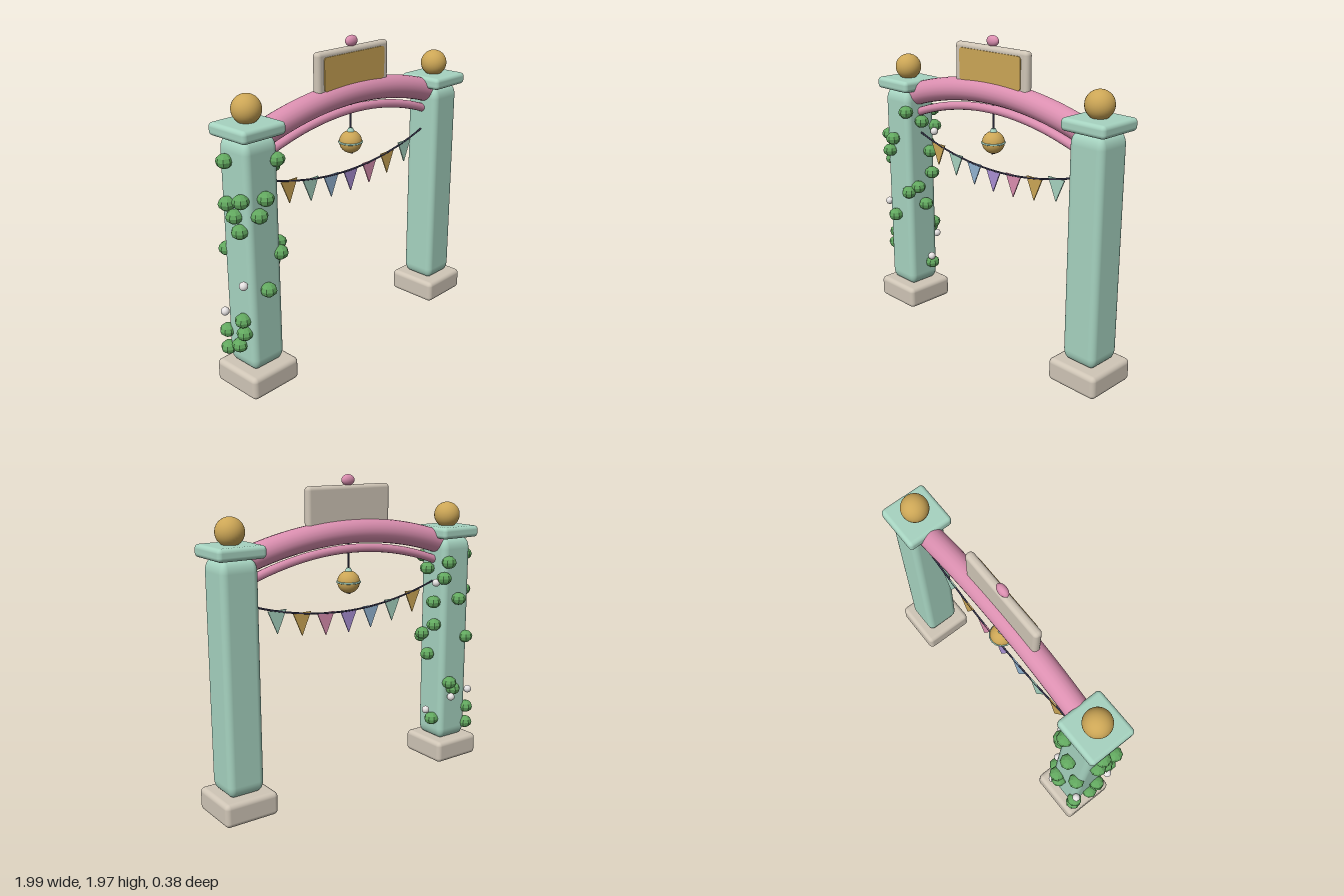
import * as THREE from 'three';
import { RoundedBoxGeometry } from 'three/addons/geometries/RoundedBoxGeometry.js';

function makeMaterial(name, color, side = THREE.FrontSide) {
  const m = new THREE.MeshStandardMaterial({ color, side });
  m.name = name;
  return m;
}

export function createModel() {
  const mint = makeMaterial('mint', 0xa6d3c0);
  const pink = makeMaterial('pink', 0xdb8fb0);
  const stone = makeMaterial('stone', 0xcfc5b6);
  const gold = makeMaterial('gold', 0xcca656);
  const green = makeMaterial('leaf green', 0x62a85f);
  const dark = makeMaterial('dark cord', 0x34324a);
  const white = makeMaterial('blossom white', 0xe6e2e2);
  const blue = makeMaterial('blue', 0x92b4d2);
  const purple = makeMaterial('purple', 0xaa90d4);

  const model = new THREE.Group();
  model.name = 'festivalArch';
  function add(name, geometry, material, x = 0, y = 0, z = 0, parent = model) {
    const mesh = new THREE.Mesh(geometry, material);
    mesh.name = name;
    mesh.position.set(x, y, z);
    parent.add(mesh);
    return mesh;
  }

  // Pillars: stone base, softly rounded shaft, cap and ball
  const shaft = new RoundedBoxGeometry(0.235, 0.8, 0.235, 4, 0.04);
  shaft.scale(1, 1.39 / 0.8, 1);
  for (const [side, s] of [['left', 1], ['right', -1]]) {
    const pillar = new THREE.Group();
    pillar.name = side + 'Pillar';
    pillar.position.x = s * 0.815;
    model.add(pillar);
    add('base', new RoundedBoxGeometry(0.35, 0.145, 0.35, 4, 0.03), stone, 0, 0.0725, 0, pillar);
    add('shaft', shaft, mint, 0, 0.84, 0, pillar);
    add('cap', new RoundedBoxGeometry(0.305, 0.075, 0.305, 4, 0.025), mint, 0, 1.578, 0, pillar);
    add('ball', new THREE.SphereGeometry(0.085, 32, 20), gold, 0, 1.685, 0, pillar);
  }

  // Curve across the gate: height at the middle, height change at x = 0.7
  function span(middle, change, half) {
    const points = [];
    for (let i = 0; i <= 12; i++) {
      const x = half * (i / 6 - 1);
      points.push(new THREE.Vector3(x, middle + change * (x / 0.7) ** 2, 0));
    }
    return new THREE.CatmullRomCurve3(points);
  }
  add('archBeam', new THREE.TubeGeometry(span(1.63, -0.107, 0.76), 48, 0.075, 20), pink);
  add('archTrim', new THREE.TubeGeometry(span(1.523, -0.125, 0.74), 48, 0.027, 12), pink);

  // Sign board with a blank panel and a finial
  add('signBoard', new RoundedBoxGeometry(0.615, 0.26, 0.055, 4, 0.025), stone, 0, 1.782, 0.008);
  const w = 0.26, h = 0.1, r = 0.02;
  const panel = new THREE.Shape();
  panel.moveTo(-w + r, -h);
  panel.absarc(w - r, -h + r, r, -Math.PI / 2, 0);
  panel.absarc(w - r, h - r, r, 0, Math.PI / 2);
  panel.absarc(-w + r, h - r, r, Math.PI / 2, Math.PI);
  panel.absarc(-w + r, -h + r, r, Math.PI, Math.PI * 1.5);
  add('signPanel', new THREE.ExtrudeGeometry(panel, { depth: 0.008, bevelEnabled: false, curveSegments: 6 }),
    gold, 0, 1.78, 0.033);
  add('finial', new THREE.SphereGeometry(1, 20, 14), pink, 0, 1.94, 0.006).scale.set(0.046, 0.034, 0.027);

  // Hanging bell
  const bell = new THREE.Group();
  bell.name = 'bell';
  model.add(bell);
  add('bellCord', new THREE.CylinderGeometry(0.006, 0.006, 0.19, 8), dark, 0, 1.485, 0, bell);
  add('bellCap', new THREE.CylinderGeometry(0.013, 0.03, 0.035, 16), mint, 0, 1.388, 0, bell);
  add('bellBody', new THREE.SphereGeometry(0.071, 28, 18), gold, 0, 1.317, 0, bell);
  add('bellBand', new THREE.TorusGeometry(0.071, 0.006, 8, 32), mint, 0, 1.317, 0, bell).rotation.x = Math.PI / 2;
  add('bellSlit', new THREE.BoxGeometry(0.008, 0.01, 0.03), dark, 0, 1.247, 0, bell);

  // Bunting: sagging cord with seven pennants
  add('buntingCord', new THREE.TubeGeometry(span(1.133, 0.116, 0.71), 40, 0.006, 8), dark);
  const pennant = new THREE.Shape([
    new THREE.Vector2(-0.063, 0.005), new THREE.Vector2(0, -0.138), new THREE.Vector2(0.063, 0.005),
  ]);
  const pennantGeometry = new THREE.ExtrudeGeometry(pennant, { depth: 0.008, bevelEnabled: false });
  [gold, mint, blue, purple, pink, gold, mint].forEach((material, i) => {
    const x = (i - 3) * 0.174;
    add('pennant', pennantGeometry, material, x, 1.133 + 0.116 * (x / 0.7) ** 2, -0.004);
  });

  // Climbing plant: faceted leaf clumps around one pillar, [x, y, z]
  const leaf = new THREE.SphereGeometry(1, 8, 6).toNonIndexed();
  leaf.scale(0.05, 0.042, 0.05);
  leaf.computeVertexNormals();
  const vine = new THREE.Group();
  vine.name = 'vine';
  model.add(vine);
  const clumps = [
    // outer face
    [-0.95, 1.415, -0.04], [-0.95, 1.21, 0.08], [-0.95, 1.17, -0.04], [-0.95, 1.11, 0.02],
    [-0.95, 1.03, 0.06], [-0.95, 0.475, 0.05], [-0.95, 0.395, 0.06], [-0.95, 0.3, 0.01],
    // front face
    [-0.715, 1.405, 0.115], [-0.825, 1.21, 0.143], [-0.87, 1.12, 0.138],
    [-0.71, 0.845, 0.115], [-0.83, 0.66, 0.143],
    // inner face
    [-0.668, 1.335, 0.02], [-0.668, 1.115, -0.05], [-0.668, 0.96, -0.06],
    [-0.672, 0.88, 0.06], [-0.668, 0.745, 0], [-0.675, 0.29, -0.05],
    // back face
    [-0.73, 1.385, -0.125], [-0.7, 1.28, -0.115], [-0.81, 1.135, -0.143], [-0.9, 0.86, -0.125],
    [-0.755, 0.555, -0.135], [-0.785, 0.51, -0.14], [-0.935, 0.345, -0.115], [-0.935, 0.23, -0.113],
  ];
  clumps.forEach(([x, y, z], i) => {
    add('leafClump', leaf, green, x, y, z, vine).rotation.y = i * 0.9;
  });
  const blossom = new THREE.SphereGeometry(0.026, 14, 10);
  const blossoms = [
    [-0.66, 1.25, -0.08], [-0.967, 0.715, 0.09], [-0.647, 0.35, -0.02],
    [-0.75, 0.46, -0.16], [-0.945, 0.47, -0.12],
  ];
  for (const [x, y, z] of blossoms) add('blossom', blossom, white, x, y, z, vine);

  return model;
}
